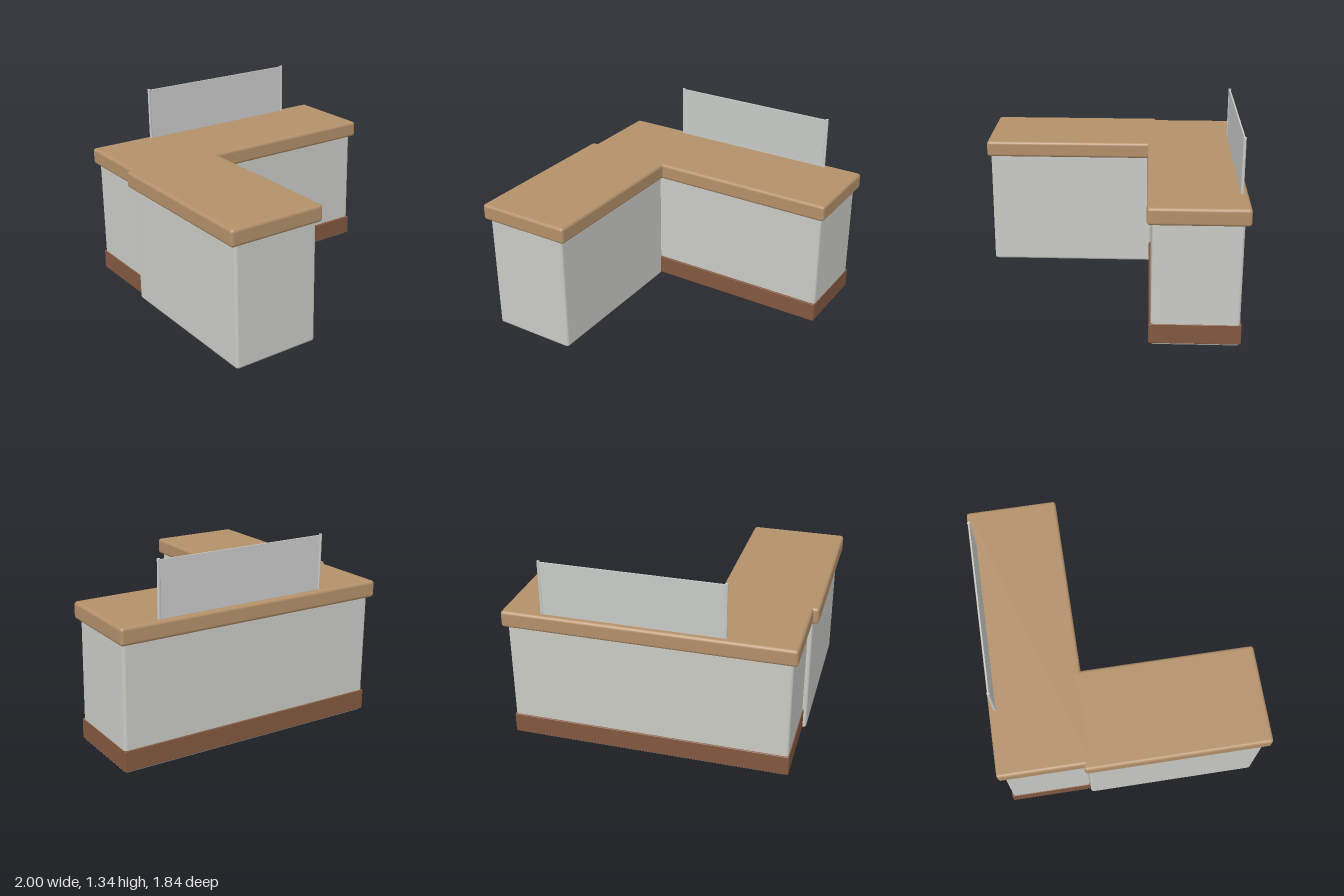
import * as THREE from 'three';
import { RoundedBoxGeometry } from 'three/addons/geometries/RoundedBoxGeometry.js';

const material = (name, color) => {
  const m = new THREE.MeshStandardMaterial({ color });
  m.name = name;
  return m;
};

export function createModel() {
  const model = new THREE.Group();
  model.name = 'cornerCounter';

  const wood = material('lightWood', 0xb3906a);
  const panel = material('paleGrey', 0xcacac5);
  const kick = material('darkBrown', 0x82583f);
  const screenGrey = material('screenGrey', 0xc8cac8);

  // Box given by its limits on each axis, with rounded edges
  const box = (name, mat, [x0, x1], [y0, y1], [z0, z1], radius) => {
    const size = [x1 - x0, y1 - y0, z1 - z0];
    const geometry = radius
      ? new RoundedBoxGeometry(...size, 4, radius)
      : new THREE.BoxGeometry(...size);
    const mesh = new THREE.Mesh(geometry, mat);
    mesh.name = name;
    mesh.position.set((x0 + x1) / 2, (y0 + y1) / 2, (z0 + z1) / 2);
    model.add(mesh);
  };

  // Cabinets of the long run and the side return
  box('mainCabinet', panel, [-0.93, 0.967], [0, 0.86], [-0.885, -0.31], 0.02);
  box('returnCabinet', panel, [-0.96, -0.345], [0, 0.86], [-0.315, 0.897], 0.02);

  // Worktops
  box('mainWorktop', wood, [-0.96, 0.997], [0.845, 0.962], [-0.923, -0.275], 0.022);
  box('returnWorktop', wood, [-1, -0.311], [0.845, 0.962], [-0.345, 0.921], 0.022);

  // Kick board around the long run
  box('kickBoard', kick, [-0.936, 0.971], [0.015, 0.155], [-0.894, -0.297], 0.006);

  // Screen with a slim post at each end
  const left = -0.498, right = 0.717, screenZ = -0.88;
  box('screenPanel', screenGrey, [left, right], [0.955, 1.33], [screenZ - 0.005, screenZ + 0.005]);
  for (const x of [left, right]) {
    const post = new THREE.Mesh(new THREE.CylinderGeometry(0.01, 0.01, 0.38, 16), screenGrey);
    post.name = 'screenPost';
    post.position.set(x, 1.147, screenZ);
    model.add(post);
  }

  return model;
}
